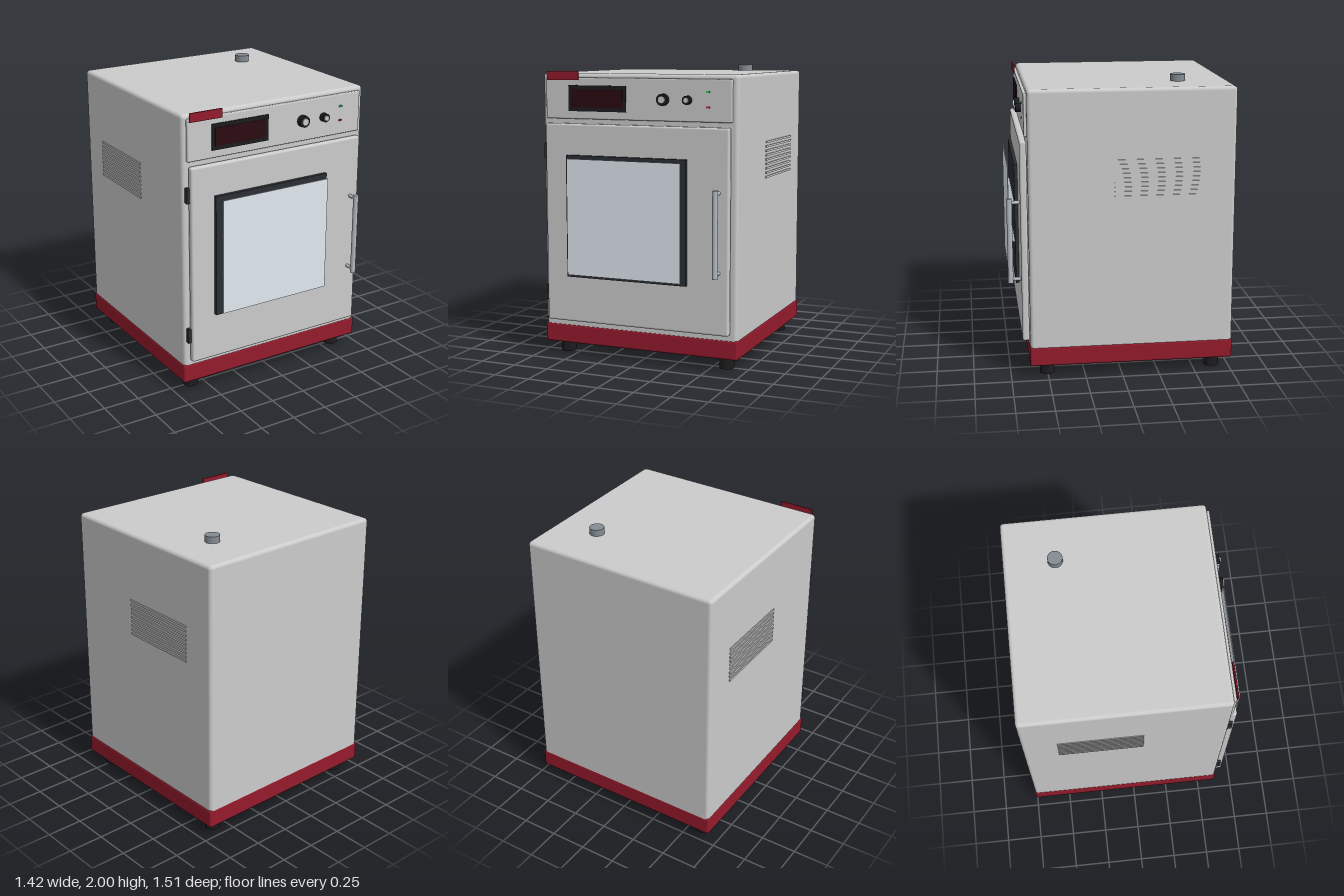
import * as THREE from 'three';
import { RoundedBoxGeometry } from 'three/addons/geometries/RoundedBoxGeometry.js';

const mat = (color) => new THREE.MeshStandardMaterial({ color });
const grey = mat(0xcccccc);
const light = mat(0xe6e6e6);
const red = mat(0x941a2c);
const dark = mat(0x2a2e33);
const black = mat(0x1c1c1e);
const steel = mat(0xb4bac2);
const glass = mat(0xe0e8f0);

export function createModel() {
  const model = new THREE.Group();
  model.name = 'labOven';

  const add = (name, geometry, material) => {
    const mesh = new THREE.Mesh(geometry, material);
    mesh.name = name;
    model.add(mesh);
    return mesh;
  };

  // Box given by its extents; a radius rounds its edges
  const box = (name, material, [x0, x1], [y0, y1], [z0, z1], radius = 0) => {
    const size = [x1 - x0, y1 - y0, z1 - z0];
    const geometry = radius
      ? new RoundedBoxGeometry(...size, 3, radius)
      : new THREE.BoxGeometry(...size);
    const mesh = add(name, geometry, material);
    mesh.position.set((x0 + x1) / 2, (y0 + y1) / 2, (z0 + z1) / 2);
    return mesh;
  };

  // Cylinder centred at a point; alongZ turns it to face the front
  const rod = (name, material, r, length, x, y, z, alongZ = false) => {
    const mesh = add(name, new THREE.CylinderGeometry(r, r, length, 32), material);
    mesh.position.set(x, y, z);
    if (alongZ) mesh.rotation.x = Math.PI / 2;
    return mesh;
  };

  // Cabinet, base band and feet
  box('cabinet', grey, [-0.706, 0.706], [0.09, 1.955], [-0.755, 0.619], 0.025);
  box('baseBand', red, [-0.711, 0.711], [0.085, 0.218], [-0.757, 0.623], 0.015);
  for (const x of [-0.595, 0.595])
    for (const z of [0.502, -0.637]) rod('foot', black, 0.05, 0.1, x, 0.05, z);

  // Exhaust port on the roof
  rod('exhaustPort', mat(0x858c94), 0.05, 0.06, 0.393, 1.97, -0.411);

  // Door with framed window
  box('door', grey, [-0.668, 0.662], [0.253, 1.617], [0.622, 0.669], 0.015);
  box('windowFrame', dark, [-0.5, 0.372], [0.571, 1.406], [0.66, 0.693]);
  box('windowGlass', glass, [-0.474, 0.35], [0.594, 1.386], [0.731, 0.737]);

  // Shelves behind the glass
  for (const y of [0.857, 1.122])
    box('shelf', steel, [-0.458, 0.334], [y - 0.004, y + 0.004], [0.69, 0.731]);

  // Door handle on two standoffs
  rod('handleBar', steel, 0.018, 0.577, 0.593, 0.934, 0.738);
  for (const y of [0.672, 1.197])
    rod('handleStandoff', steel, 0.012, 0.075, 0.593, y, 0.7, true);

  // Hinges
  for (const y of [0.441, 1.428])
    box('hinge', dark, [-0.688, -0.665], [y - 0.051, y + 0.051], [0.61, 0.647]);

  // Control panel, badge plate and display
  box('controlPanel', light, [-0.674, 0.668], [1.648, 1.926], [0.61, 0.639], 0.008);
  box('badgePlate', red, [-0.662, -0.425], [1.908, 1.968], [0.638, 0.648]);
  box('displayBezel', black, [-0.5, -0.074], [1.7, 1.874], [0.632, 0.646]);
  box('displayScreen', mat(0x2a0a10), [-0.478, -0.098], [1.726, 1.848], [0.64, 0.649]);

  // Knobs with pale caps
  for (const [x, r] of [[0.195, 0.039], [0.366, 0.029]]) {
    rod('knob', black, r, 0.04, x, 1.789, 0.655, true);
    rod('knobCap', light, r * 0.62, 0.012, x, 1.789, 0.678, true);
  }

  // Indicator lamps
  for (const [y, color] of [[1.843, 0x22c05a], [1.746, 0xc02236]])
    box('indicatorLamp', mat(color), [0.495, 0.517], [y - 0.006, y + 0.006], [0.636, 0.647]);

  // Vent slats on both sides
  for (const side of [-1, 1])
    for (let i = 0; i < 9; i++) {
      const y = 1.241 + i * 0.0302;
      const slat = box('ventSlat', mat(0xefefef), [0.7, 0.712], [y - 0.007, y + 0.007], [-0.519, 0.056]);
      slat.position.x *= side;
    }

  return model;
}
